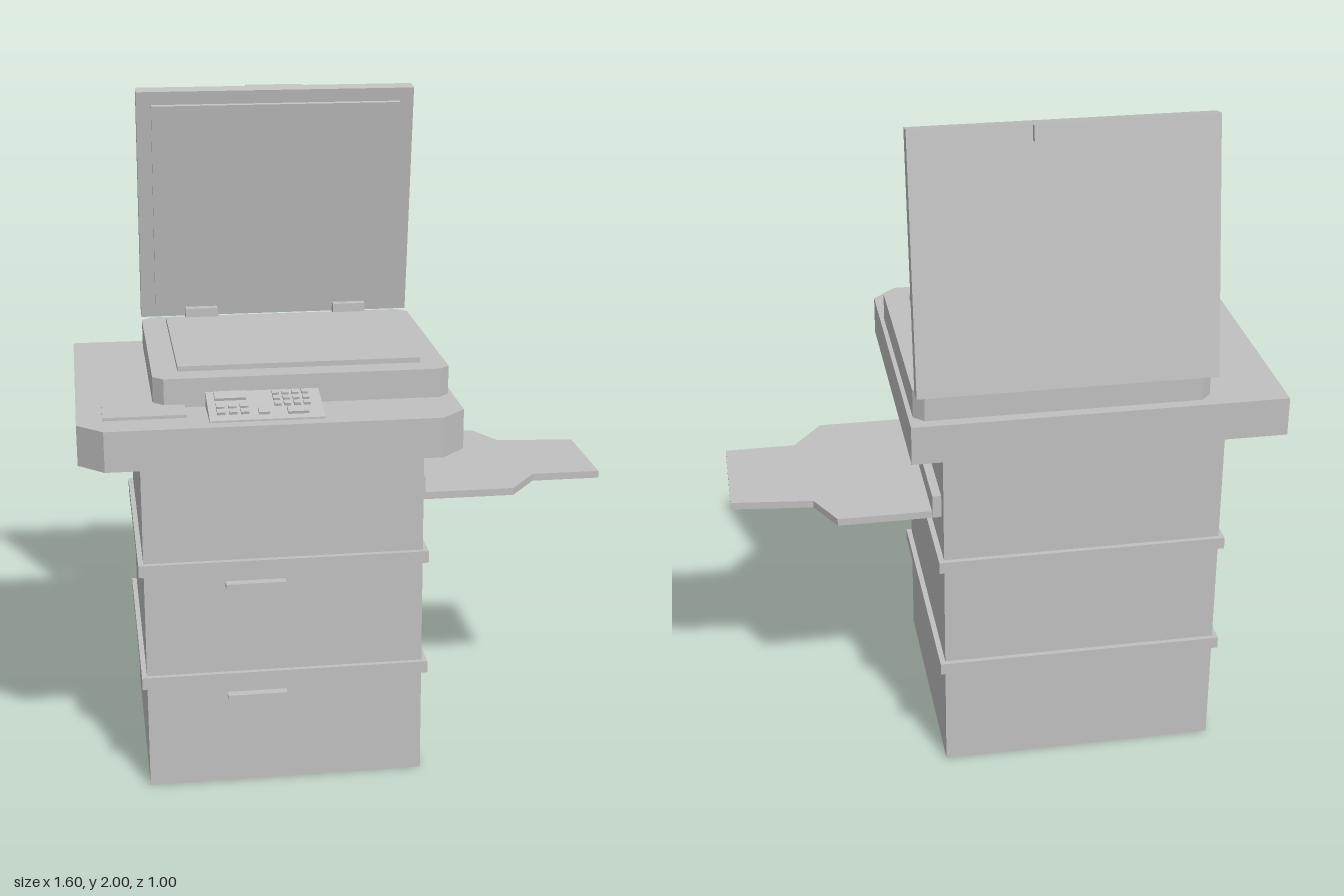
import * as THREE from 'three';

export function createModel() {
  const model = new THREE.Group();
  model.name = 'photocopier';
  const grey = new THREE.MeshStandardMaterial({ color: 0xc0c0c0 });
  grey.name = 'plain grey';

  function add(name, geometry, parent = model) {
    const mesh = new THREE.Mesh(geometry, grey);
    mesh.name = name;
    parent.add(mesh);
    return mesh;
  }
  // Box given by its lower and upper limits on each axis
  function box(name, x0, x1, y0, y1, z0, z1, parent) {
    const g = new THREE.BoxGeometry(x1 - x0, y1 - y0, z1 - z0);
    g.translate((x0 + x1) / 2, (y0 + y1) / 2, (z0 + z1) / 2);
    return add(name, g, parent);
  }
  // Horizontal slab from an outline of [x, z] points
  function slab(name, outline, y0, y1) {
    const shape = new THREE.Shape(outline.map(([x, z]) => new THREE.Vector2(x, -z)));
    const g = new THREE.ExtrudeGeometry(shape, { depth: y1 - y0, bevelEnabled: false });
    g.rotateX(-Math.PI / 2);
    g.translate(0, y0, 0);
    return add(name, g);
  }

  // Cabinet with two trim bands and drawer handles
  box('cabinet', -0.625, 0.2, 0, 1.06, -0.445, 0.322);
  for (const y of [0.323, 0.678]) {
    box('trimBand', -0.64, 0.216, y, y + 0.036, -0.46, 0.338);
    box('drawerHandle', -0.387, -0.21, y - 0.047, y - 0.031, 0.32, 0.35);
  }

  // Wide deck with cut front corners
  slab('deck', [[-0.8, -0.48], [0.293, -0.48], [0.293, 0.425], [0.22, 0.498],
    [-0.727, 0.498], [-0.8, 0.425]], 1.058, 1.175);
  box('deckPlate', -0.727, -0.492, 1.17, 1.184, 0.25, 0.395);

  // Scanner bed with chamfered corners, and its glass
  const c = 0.03;
  slab('scannerBed', [[-0.58 + c, -0.447], [0.28 - c, -0.447], [0.28, -0.447 + c],
    [0.28, 0.292 - c], [0.28 - c, 0.292], [-0.58 + c, 0.292],
    [-0.58, 0.292 - c], [-0.58, -0.447 + c]], 1.175, 1.26);
  box('scannerGlass', -0.505, 0.205, 1.255, 1.275, -0.372, 0.215);

  // Raised lid, leaning forward
  const lid = new THREE.Group();
  lid.name = 'lid';
  lid.position.set(0, 1.262, -0.45);
  lid.rotation.x = 0.17;
  model.add(lid);
  box('lidPanel', -0.58, 0.278, 0, 0.741, -0.048, 0, lid);
  box('lidPad', -0.535, 0.234, 0.045, 0.7, -0.005, 0.015, lid);
  box('lidHandle', -0.24, -0.062, 0.695, 0.738, -0.07, -0.04, lid);
  for (const x of [-0.44, 0.037]) box('hinge', x, x + 0.103, 1.255, 1.292, -0.45, -0.413);

  // Sloping control panel wedge
  const side = new THREE.Shape([[-0.455, 1.17], [-0.285, 1.17], [-0.285, 1.219], [-0.455, 1.18]]
    .map(([x, y]) => new THREE.Vector2(x, y)));
  const wedge = new THREE.ExtrudeGeometry(side, { depth: 0.325, bevelEnabled: false });
  wedge.rotateY(Math.PI / 2);
  wedge.translate(-0.432, 0, 0);
  add('controlPanel', wedge);

  // Buttons and displays lying on the slope
  function key(name, x, z, w, d) {
    const mesh = add(name, new THREE.BoxGeometry(w, 0.016, d));
    mesh.position.set(x, 1.18 + (0.455 - z) * 0.23, z);
    mesh.rotation.x = Math.atan(0.23);
  }
  key('display', -0.365, 0.324, 0.088, 0.042);
  key('startButton', -0.18, 0.416, 0.06, 0.033);
  key('stopButton', -0.277, 0.416, 0.03, 0.027);
  for (const x of [-0.397, -0.363, -0.33]) {
    for (const z of [0.381, 0.413]) key('functionKey', x, z, 0.023, 0.022);
  }
  for (const x of [-0.234, -0.206, -0.178, -0.15]) {
    for (const z of [0.316, 0.346, 0.376]) key('numberKey', x, z, 0.019, 0.019);
  }

  // Paper outlet and tray on the left side
  box('paperOutlet', 0.19, 0.226, 0.838, 0.905, -0.402, 0.216);
  slab('paperTray', [[0.2, -0.39], [0.5, -0.39], [0.56, -0.273], [0.8, -0.245],
    [0.8, 0.08], [0.59, 0.08], [0.5, 0.2], [0.2, 0.2]], 0.828, 0.85);

  return model;
}
